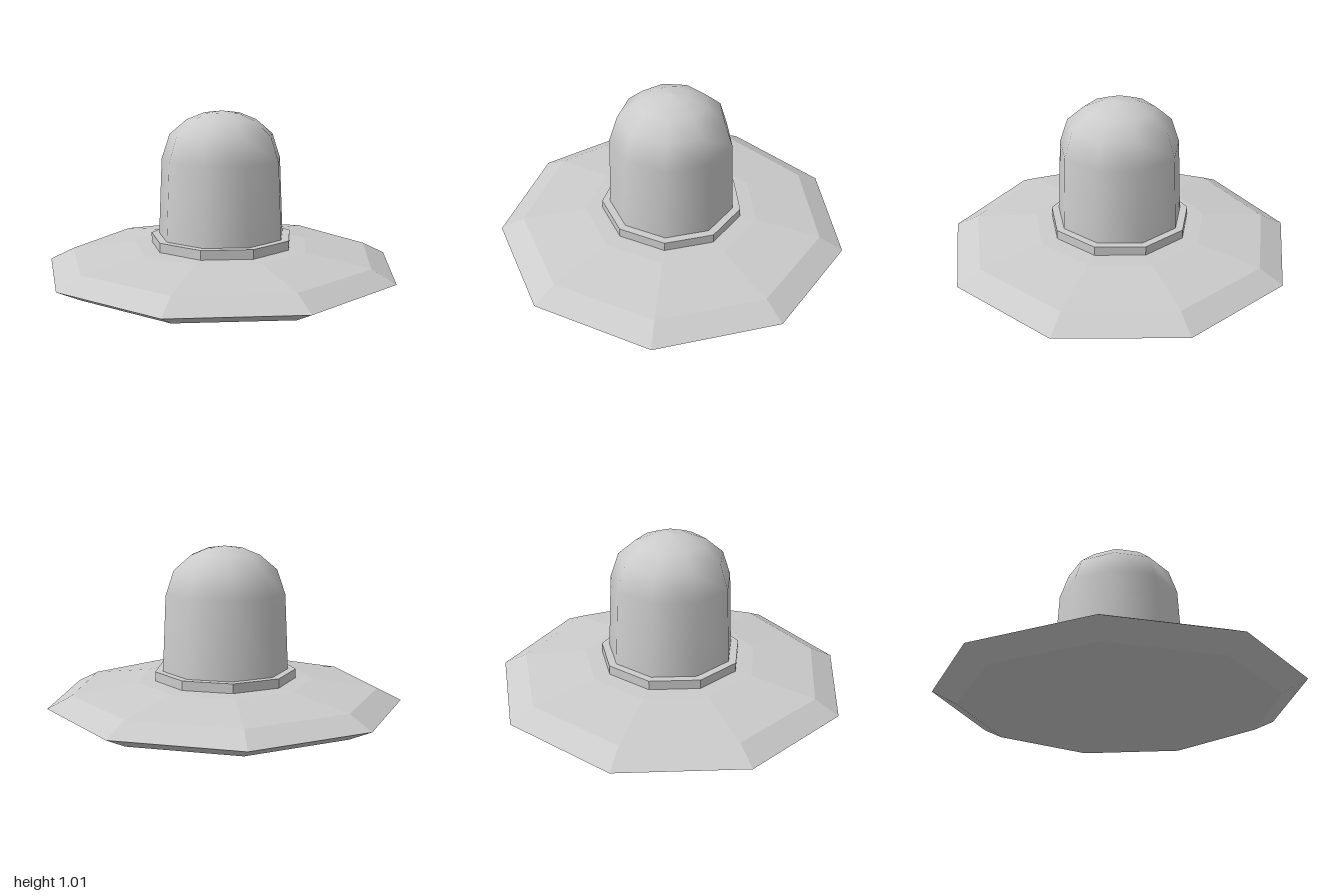
import * as THREE from 'three';

const SIDES = 9;

// Nine-sided turned part with one corner pointing to +x; points run bottom to top
function turned(name, points, flatShading) {
  const profile = points.map(([r, y]) => new THREE.Vector2(r, y));
  const geometry = new THREE.LatheGeometry(profile, SIDES, Math.PI / 2);
  const material = new THREE.MeshStandardMaterial({ color: 0xcccccc, flatShading });
  const mesh = new THREE.Mesh(geometry, material);
  mesh.name = name;
  return mesh;
}

export function createModel() {
  const group = new THREE.Group();
  group.name = 'hat';
  const body = new THREE.Group();
  body.name = 'hatBody';
  body.position.x = -0.031; // centres the odd-sided outline
  group.add(body);

  // Wide brim: a flattened sphere with six rings
  const rings = 6;
  const radius = 1.0154;
  const half = 0.135;
  const brim = [];
  for (let i = 0; i <= rings; i++) {
    const a = (Math.PI * i) / rings;
    brim.push([radius * Math.sin(a), half - half * Math.cos(a)]);
  }
  body.add(turned('brim', brim, true));

  // Band around the foot of the crown
  body.add(turned('band', [[0, 0.245], [0.41, 0.245], [0.41, 0.308], [0.34, 0.308]], true));

  // Smooth tapered crown with a domed top
  body.add(turned('crown', [
    [0.368, 0.25], [0.345, 0.74], [0.298, 0.88], [0.2, 0.963], [0.1, 1.003], [0, 1.014],
  ], false));

  return group;
}
